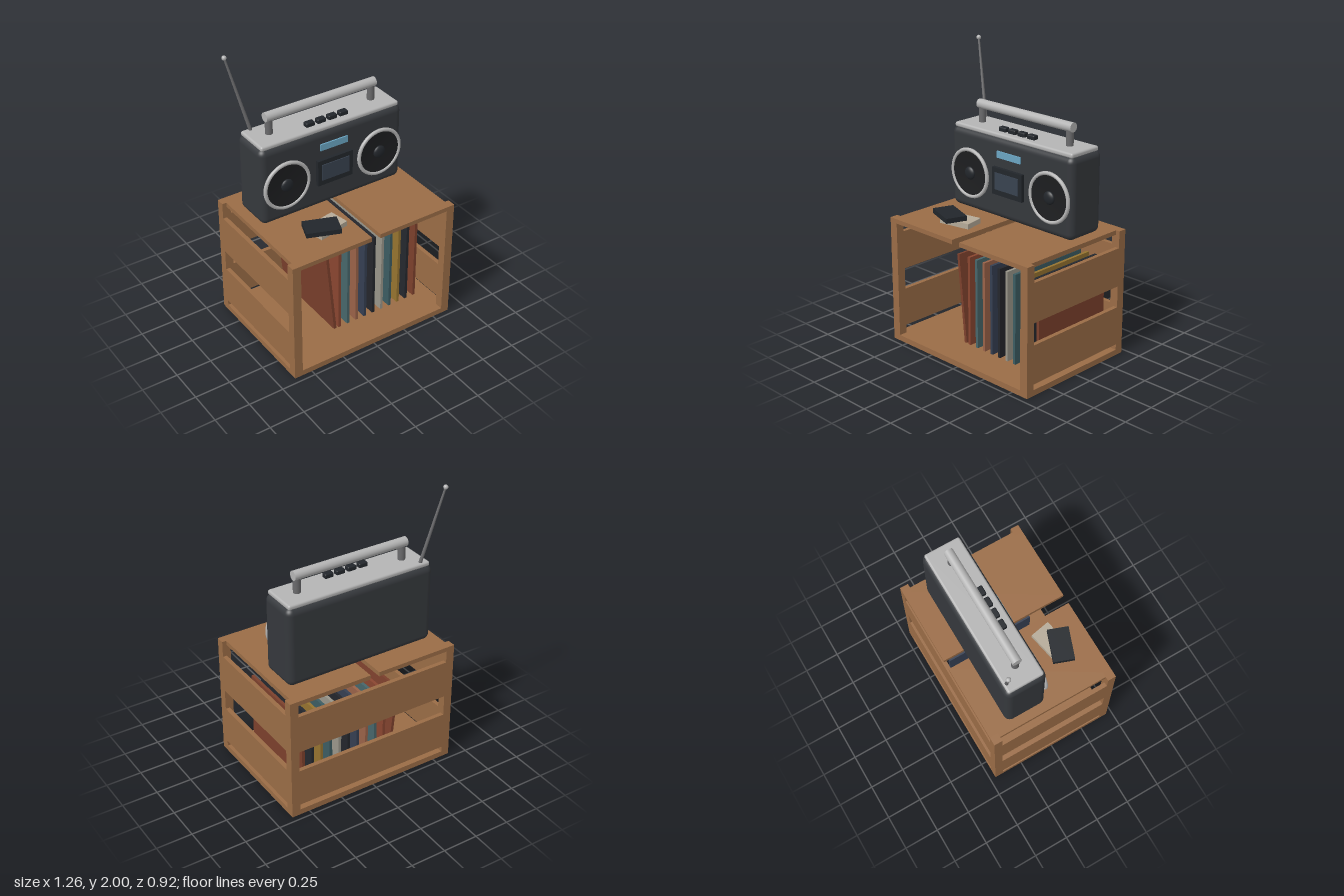
import * as THREE from 'three';
import { RoundedBoxGeometry } from 'three/addons/geometries/RoundedBoxGeometry.js';

const mat = (color, side = THREE.FrontSide) => new THREE.MeshStandardMaterial({ color, side });
const WOOD = mat(0x9a6c46), BODY = mat(0x35383c), METAL = mat(0xb4b4b4), ROD = mat(0x6a6a6c);
const BLACK = mat(0x22262b), CONE = mat(0x1d1e20, THREE.DoubleSide);

function add(parent, name, geometry, material, x = 0, y = 0, z = 0) {
  const mesh = new THREE.Mesh(geometry, material);
  mesh.name = name;
  mesh.position.set(x, y, z);
  parent.add(mesh);
  return mesh;
}
const box = (w, h, d) => new THREE.BoxGeometry(w, h, d);

function group(parent, name) {
  const g = new THREE.Group();
  g.name = name;
  parent.add(g);
  return g;
}

// Cylinder between two points
function rod(parent, name, a, b, r0, r1, material) {
  const dir = b.clone().sub(a);
  const m = add(parent, name, new THREE.CylinderGeometry(r1, r0, dir.length(), 20), material);
  m.position.copy(a).add(b).multiplyScalar(0.5);
  m.quaternion.setFromUnitVectors(new THREE.Vector3(0, 1, 0), dir.normalize());
}

function buildCrate(parent) {
  const crate = group(parent, 'crate');
  add(crate, 'floor', box(1.26, 0.04, 0.92), WOOD, 0, 0.02, 0);
  for (const s of [-1, 1]) {
    for (const t of [-1, 1]) add(crate, 'cornerPost', box(0.06, 0.846, 0.06), WOOD, s * 0.6, 0.463, t * 0.43);
    // Top boards leave a gap in the middle
    add(crate, 'topBoard', box(0.567, 0.031, 0.92), WOOD, s * 0.3165, 0.8705, 0);
    for (const y of [0.215, 0.635]) add(crate, 'sideSlat', box(0.03, 0.27, 0.8), WOOD, s * 0.615, y, 0);
  }
  for (const y of [0.215, 0.635]) add(crate, 'backSlat', box(1.14, 0.27, 0.03), WOOD, 0, y, -0.445);
}

function buildRecords(parent) {
  const records = group(parent, 'records');
  const colors = [0x8a4630, 0x47666a, 0x9a6248, 0x353f52, 0x24262c, 0x99968a, 0x3c5c62, 0x96732f, 0x25282e, 0x7c402c];
  colors.forEach((c, i) =>
    add(records, 'record', box(0.02, 0.635, 0.63), mat(c), -0.122 + i * 0.0695, 0.3575, -0.085));
  const leaning = add(records, 'leaningRecord', box(0.02, 0.63, 0.63), mat(0x7c402c), -0.191, 0.356, -0.085);
  leaning.rotation.z = 0.1;
}

function buildSpeaker(parent, x) {
  const speaker = group(parent, 'speaker');
  speaker.position.set(x, 1.145, -0.018);
  add(speaker, 'speakerRing', new THREE.TorusGeometry(0.162, 0.013, 12, 48), METAL);
  const profile = [[0, -0.004], [0.05, -0.003], [0.11, 0.001], [0.162, 0.006]].map(p => new THREE.Vector2(...p));
  add(speaker, 'speakerCone', new THREE.LatheGeometry(profile, 48), CONE).rotation.x = Math.PI / 2;
  add(speaker, 'dustCap', new THREE.SphereGeometry(0.045, 24, 12), BLACK).scale.z = 0.45;
}

function buildRadio(parent) {
  const radio = group(parent, 'radio');
  add(radio, 'body', new RoundedBoxGeometry(1.09, 0.555, 0.29, 5, 0.045), BODY, 0, 1.164, -0.17);
  add(radio, 'topPanel', new RoundedBoxGeometry(1.054, 0.034, 0.255, 3, 0.014), METAL, 0, 1.449, -0.169);
  for (const s of [-1, 1]) {
    buildSpeaker(radio, s * 0.36);
    add(radio, 'handlePost', new THREE.CylinderGeometry(0.025, 0.025, 0.13, 20), ROD, s * 0.392, 1.52, -0.17);
  }
  const bar = add(radio, 'handleBar', new THREE.CylinderGeometry(0.032, 0.032, 0.84, 28), METAL, 0, 1.588, -0.172);
  bar.rotation.z = Math.PI / 2;
  for (let i = 0; i < 4; i++)
    add(radio, 'button', new RoundedBoxGeometry(0.064, 0.036, 0.042, 2, 0.008), BLACK, -0.129 + i * 0.085, 1.477, -0.109);

  // Cassette deck and display
  add(radio, 'cassetteDoor', box(0.27, 0.186, 0.03), BLACK, 0, 1.153, -0.015);
  add(radio, 'cassetteWindow', box(0.21, 0.116, 0.02), mat(0x38424f), 0, 1.156, -0.004);
  add(radio, 'display', box(0.21, 0.046, 0.02), mat(0x6aa5c2), 0, 1.333, -0.025);

  // Antenna
  const foot = new THREE.Vector3(-0.464, 1.455, -0.272), tip = new THREE.Vector3(-0.593, 1.984, -0.336);
  rod(radio, 'antenna', foot, tip, 0.012, 0.007, ROD);
  add(radio, 'antennaTip', new THREE.SphereGeometry(0.016, 16, 12), METAL, tip.x, tip.y, tip.z);
}

function buildTapes(parent) {
  const tapes = group(parent, 'tapes');
  add(tapes, 'lowerTape', box(0.227, 0.036, 0.142), mat(0xb5aa98), -0.215, 0.905, 0.214).rotation.y = 0.19;
  add(tapes, 'upperTape', box(0.23, 0.034, 0.145), BLACK, -0.277, 0.941, 0.25).rotation.y = -0.355;
}

export function createModel() {
  const model = new THREE.Group();
  model.name = 'radioOnRecordCrate';
  buildCrate(model);
  buildRecords(model);
  buildRadio(model);
  buildTapes(model);
  return model;
}
